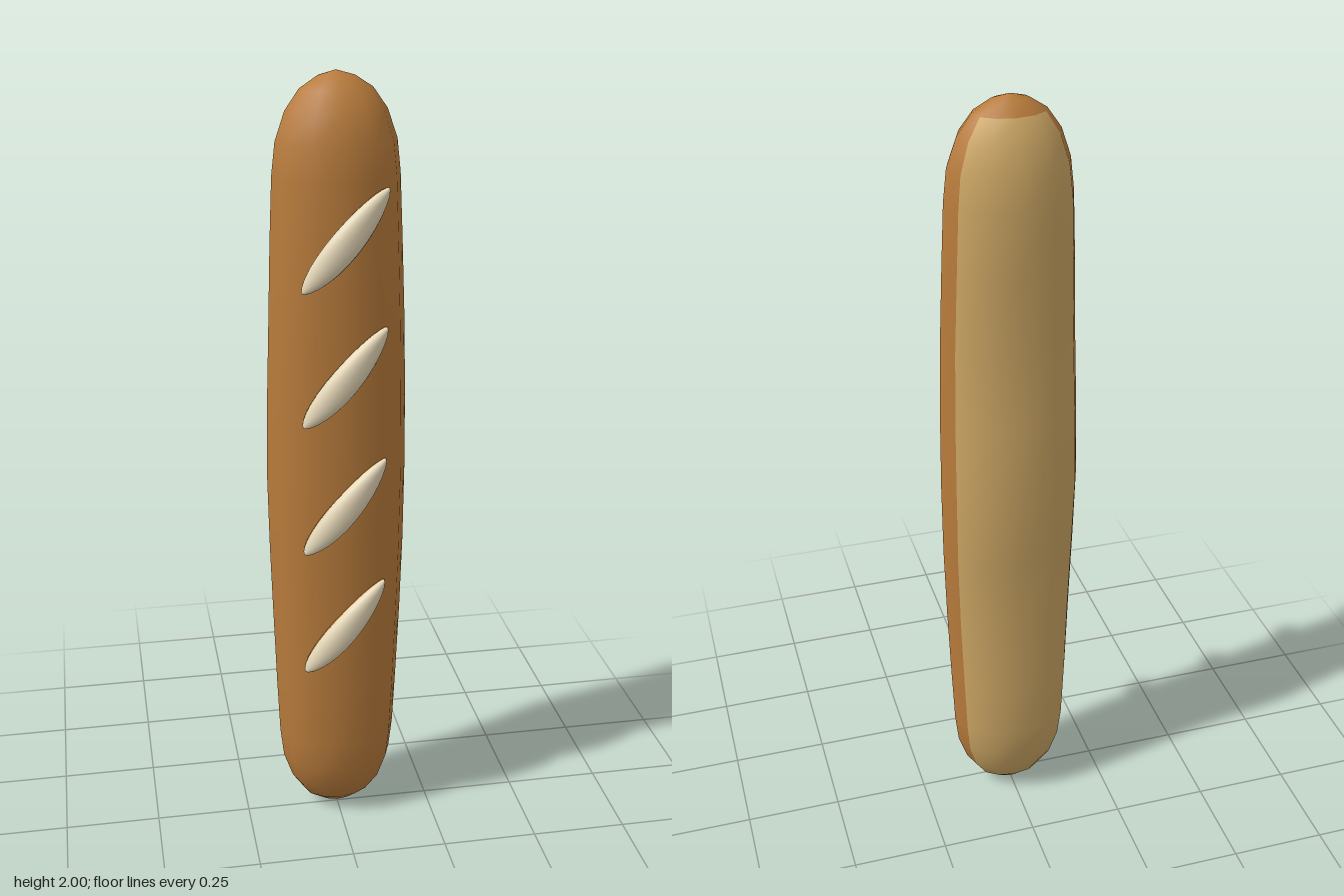
import * as THREE from 'three';

const crust = new THREE.MeshStandardMaterial({ color: 0xb97c3c });
crust.name = 'crust';
const underside = new THREE.MeshStandardMaterial({ color: 0xcca664 });
underside.name = 'underside';
const crumb = new THREE.MeshStandardMaterial({ color: 0xe6d8b8 });
crumb.name = 'crumb';

// Joins closed rings of points into a smooth skin; pick(i, j) gives each quad's material index.
function loft(name, rings, materials, pick) {
  const n = rings[0].length;
  const faces = materials.map(() => []);
  for (let i = 0; i < rings.length - 1; i++) {
    for (let j = 0; j < n; j++) {
      const k = (j + 1) % n;
      const a = i * n + j, b = i * n + k, c = a + n, d = b + n;
      faces[pick(i, j)].push(a, c, b, b, c, d);
    }
  }
  const geo = new THREE.BufferGeometry().setFromPoints(rings.flat());
  geo.setIndex(faces.flat());
  let start = 0;
  faces.forEach((f, m) => {
    geo.addGroup(start, f.length, m);
    start += f.length;
  });
  geo.computeVertexNormals();
  const mesh = new THREE.Mesh(geo, materials);
  mesh.name = name;
  return mesh;
}

// Loaf: twelve-sided oval rings; each row is height, half width, front z, back z
function makeLoaf() {
  const rows = [
    [0, 0.002, -0.018, -0.02], [0.012, 0.045, 0.012, -0.045], [0.04, 0.088, 0.042, -0.072],
    [0.09, 0.123, 0.073, -0.1], [0.16, 0.147, 0.094, -0.118], [0.24, 0.156, 0.101, -0.127],
    [0.4, 0.163, 0.105, -0.128], [0.6, 0.17, 0.107, -0.123], [0.8, 0.176, 0.108, -0.129],
    [1, 0.179, 0.11, -0.143], [1.2, 0.176, 0.109, -0.131], [1.4, 0.17, 0.108, -0.12],
    [1.6, 0.163, 0.104, -0.126], [1.76, 0.156, 0.101, -0.127], [1.84, 0.147, 0.094, -0.118],
    [1.91, 0.123, 0.073, -0.1], [1.96, 0.088, 0.042, -0.072], [1.988, 0.045, 0.012, -0.045],
    [2, 0.002, -0.018, -0.02],
  ];
  const rings = rows.map(([y, w, front, back]) =>
    Array.from({ length: 12 }, (_, j) => {
      const t = (j / 12) * Math.PI * 2;
      const z = (front + back) / 2 + ((front - back) / 2) * Math.sin(t);
      return new THREE.Vector3(w * Math.cos(t), y, z);
    }));
  // The pale underside covers the back third, stopping short of the tips
  const pale = (i, j) => j >= 7 && j <= 10 && i >= 2 && i < rows.length - 3;
  return loft('loaf', rings, [crust, underside], (i, j) => (pale(i, j) ? 1 : 0));
}

// Slash: a slanted lens draped over the loaf, pale in front with a crust lip behind
function makeSlash() {
  const steps = 14, sides = 12;
  const rings = [];
  for (let i = 0; i <= steps; i++) {
    const t = -Math.cos((i / steps) * Math.PI);
    const w = Math.max(0.001, Math.pow(1 - t * t, 0.65));
    const ring = [];
    for (let j = 0; j < sides; j++) {
      const a = (j / sides) * Math.PI * 2;
      const side = 0.039 * w * Math.cos(a);
      const x = 0.003 + 0.106 * t + 0.75 * side;
      const y = 0.12 * t - 0.66 * side;
      const depth = Math.sin(a) > 0 ? 0.024 : 0.036;
      const z = 0.119 - 2 * (x + 0.02) ** 2 + depth * Math.sqrt(w) * Math.sin(a);
      ring.push(new THREE.Vector3(x, y, z));
    }
    rings.push(ring);
  }
  return loft('slash', rings, [crust, crumb], (i, j) => (j < sides / 2 ? 1 : 0));
}

export function createModel() {
  const bread = new THREE.Group();
  bread.name = 'breadStick';
  bread.add(makeLoaf());
  for (const y of [0.605, 0.943, 1.285, 1.623]) {
    const slash = makeSlash();
    slash.position.y = y;
    bread.add(slash);
  }
  return bread;
}
